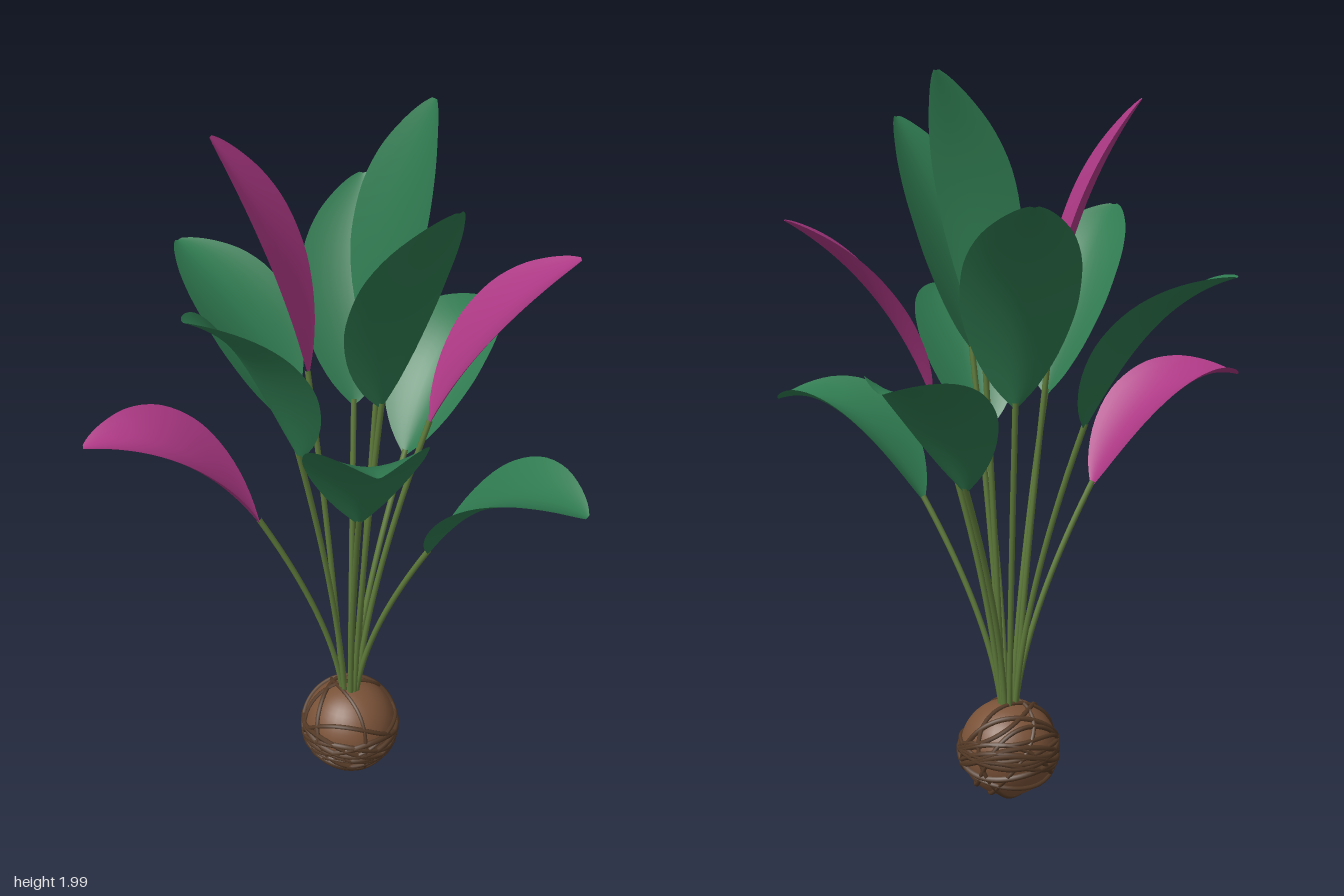
import * as THREE from 'three';

const green = new THREE.MeshStandardMaterial({ name: 'leaf green', color: 0x2f7a50, side: THREE.DoubleSide });
const pink = new THREE.MeshStandardMaterial({ name: 'leaf magenta', color: 0xac3884, side: THREE.DoubleSide });
const stemGreen = new THREE.MeshStandardMaterial({ name: 'stem green', color: 0x5e7a3a });
const soil = new THREE.MeshStandardMaterial({ name: 'root ball brown', color: 0x7a5238 });
const twine = new THREE.MeshStandardMaterial({ name: 'twine brown', color: 0x553a26 });

// Each leaf as radius, height pairs: base, bend, tip. Successive leaves turn by the golden angle.
const LEAVES = [
  [0.09, 1.32, 0.12, 1.72, 0.25, 2.0],
  [0.11, 1.3, 0.16, 1.67, 0.345, 1.93],
  [0.13, 1.27, 0.19, 1.62, 0.4, 1.88],
  [0.14, 1.15, 0.24, 1.52, 0.47, 1.69],
  [0.18, 1.13, 0.29, 1.5, 0.525, 1.63],
  [0.21, 1.16, 0.33, 1.48, 0.58, 1.63],
  [0.23, 1.09, 0.39, 1.43, 0.64, 1.51],
  [0.235, 1.0, 0.4, 1.34, 0.64, 1.38],
  [0.26, 0.95, 0.45, 1.28, 0.68, 1.28],
  [0.25, 0.88, 0.45, 1.23, 0.7, 1.165],
  [0.25, 0.84, 0.45, 1.18, 0.69, 1.1],
];
const GOLDEN = Math.PI * (3 - Math.sqrt(5));
const WIDTH = 0.152;

// Half-width outline along the blade, from base to tip
const outline = new THREE.SplineCurve([
  [0, 0.04], [0.08, 0.4], [0.2, 0.73], [0.35, 0.95], [0.48, 1], [0.62, 0.95],
  [0.76, 0.76], [0.88, 0.48], [0.96, 0.24], [1, 0.07],
].map(([t, w]) => new THREE.Vector2(t, w)));

// Blade: cupped cross-sections swept along a drooping midrib
function leafGeometry(curve, side, cup) {
  const rows = 28, cols = 12;
  const pos = [], index = [];
  for (let i = 0; i <= rows; i++) {
    const o = outline.getPoint(i / rows);
    const t = Math.min(1, Math.max(0, o.x));
    const p = curve.getPoint(t);
    const n = new THREE.Vector3().crossVectors(curve.getTangent(t), side).normalize();
    if (n.y < 0) n.negate();
    for (let j = 0; j <= cols; j++) {
      const u = (j / cols) * 2 - 1;
      const q = p.clone()
        .addScaledVector(side, u * o.y * WIDTH)
        .addScaledVector(n, cup * o.y * Math.pow(Math.abs(u), 1.7));
      pos.push(q.x, q.y, q.z);
      if (i < rows && j < cols) {
        const a = i * (cols + 1) + j, b = a + cols + 1;
        index.push(a, b, a + 1, b, b + 1, a + 1);
      }
    }
  }
  const g = new THREE.BufferGeometry();
  g.setAttribute('position', new THREE.Float32BufferAttribute(pos, 3));
  g.setIndex(index);
  g.computeVertexNormals();
  return g;
}

function createLeaf([br, by, cr, cy, tr, ty], i) {
  const a = -i * GOLDEN;
  const at = (r, y) => new THREE.Vector3(r * Math.cos(a), y, r * Math.sin(a));
  const side = new THREE.Vector3(Math.sin(a), 0, -Math.cos(a));
  const group = new THREE.Group();
  group.name = 'leafWithStem' + (i + 1);

  const blade = new THREE.QuadraticBezierCurve3(at(br, by), at(cr, cy), at(tr, ty));
  const leaf = new THREE.Mesh(leafGeometry(blade, side, 0.03 + i * 0.002), i % 4 === 1 ? pink : green);
  leaf.name = 'leafBlade';

  const path = new THREE.QuadraticBezierCurve3(at(0.02, 0.25), at(0.045, 0.28 + 0.4 * (by - 0.28)), at(br + 0.002, by + 0.015));
  const stem = new THREE.Mesh(new THREE.TubeGeometry(path, 24, 0.008, 8), stemGreen);
  stem.name = 'stem';
  group.add(leaf, stem);
  return group;
}

// Ball of roots wrapped in wavering loops of twine
function createRootBall() {
  const group = new THREE.Group();
  group.name = 'rootBall';
  group.position.y = 0.147;
  const core = new THREE.Mesh(new THREE.SphereGeometry(0.136, 32, 24), soil);
  core.name = 'rootBallCore';
  group.add(core);

  let seed = 7;
  const rand = () => (seed = (seed * 16807) % 2147483647) / 2147483647;
  for (let k = 0; k < 16; k++) {
    const pts = [], phase = rand() * 6.28, wave = 0.08 + rand() * 0.14, offset = (rand() - 0.5) * 0.7;
    for (let i = 0; i < 24; i++) {
      const t = (i / 24) * Math.PI * 2;
      const lat = offset + wave * Math.sin(2 * t + phase);
      pts.push(new THREE.Vector3(Math.cos(lat) * Math.cos(t), Math.sin(lat), Math.cos(lat) * Math.sin(t)).multiplyScalar(0.138));
    }
    const loop = new THREE.Mesh(
      new THREE.TubeGeometry(new THREE.CatmullRomCurve3(pts, true), 72, 0.006 + rand() * 0.003, 6, true), twine);
    loop.name = 'twineLoop';
    // Half of the loops run near level, the others cross at steep angles
    const tilt = k % 2 ? 0.5 : 2.6;
    loop.rotation.set((rand() - 0.5) * tilt, rand() * 6.28, (rand() - 0.5) * tilt);
    group.add(loop);
  }
  return group;
}

export function createModel() {
  const model = new THREE.Group();
  model.name = 'pottedLeafPlant';
  model.add(createRootBall());
  LEAVES.forEach((leaf, i) => model.add(createLeaf(leaf, i)));
  return model;
}
